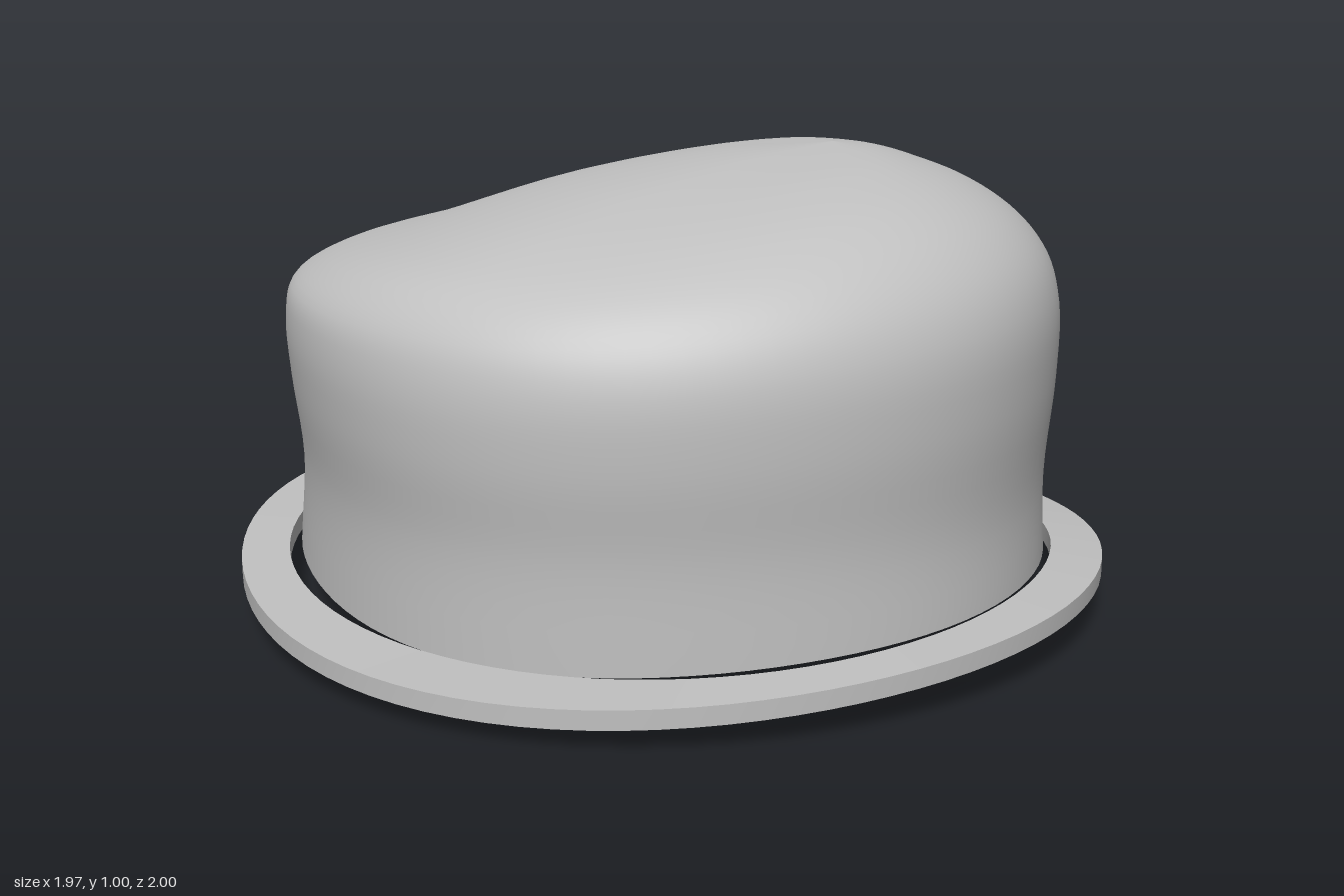
import * as THREE from 'three';

const SEG = 96;
const grey = new THREE.MeshStandardMaterial({ color: 0xc0c0c0 });
grey.name = 'grey felt';

// Skins a list of rings; ring(theta) gives a point, theta runs from +x towards +z
function skin(rings) {
  const pos = [], idx = [];
  for (const ring of rings)
    for (let i = 0; i < SEG; i++) pos.push(...ring((i / SEG) * Math.PI * 2));
  for (let j = 0; j < rings.length - 1; j++)
    for (let i = 0; i < SEG; i++) {
      const a = j * SEG + i, b = j * SEG + ((i + 1) % SEG), c = a + SEG, d = b + SEG;
      idx.push(a, c, b, b, c, d);
    }
  const g = new THREE.BufferGeometry();
  g.setAttribute('position', new THREE.Float32BufferAttribute(pos, 3));
  g.setIndex(idx);
  g.computeVertexNormals();
  return g;
}

function part(name, geometry) {
  const m = new THREE.Mesh(geometry, grey);
  m.name = name;
  return m;
}

// Smoothly blends four axis values: +x, +z, -x, -z
function blend(t, px, pz, nx, nz) {
  const c = Math.cos(t), s = Math.sin(t);
  return c * c * (c > 0 ? px : nx) + s * s * (s > 0 ? pz : nz);
}

// Crown outlines as [distance from the middle, height], from the lip to the peak
const curve = (pts) => new THREE.CatmullRomCurve3(pts.map(([r, y]) => new THREE.Vector3(r, y, 0)));
const leftSide = curve([[0.855, 0.12], [0.845, 0.3], [0.86, 0.52], [0.855, 0.68], [0.82, 0.78],
  [0.75, 0.86], [0.64, 0.925], [0.5, 0.97], [0.4, 0.99], [0.3, 1]]);
const frontSide = curve([[0.83, 0.075], [0.83, 0.3], [0.85, 0.48], [0.848, 0.62], [0.82, 0.71],
  [0.75, 0.785], [0.6, 0.85], [0.3, 0.925], [0, 0.975], [-0.22, 1]]);
const rightSide = curve([[0.87, 0.12], [0.85, 0.34], [0.87, 0.52], [0.885, 0.64], [0.88, 0.7],
  [0.8, 0.75], [0.6, 0.81], [0.3, 0.91], [0, 0.97], [-0.3, 1]]);
const backSide = curve([[0.83, 0.075], [0.84, 0.25], [0.87, 0.45], [0.893, 0.6], [0.895, 0.7],
  [0.85, 0.78], [0.74, 0.87], [0.55, 0.945], [0.38, 0.985], [0.22, 1]]);

// One level of the crown, shrunk by inset for the lining
function crownRing(v, inset) {
  const [l, f, r, b] = [leftSide, frontSide, rightSide, backSide].map((c) => c.getPoint(v));
  const k = 1 - inset;
  return (t) => {
    const s = Math.sin(t), diag = Math.sin(2 * t) ** 2;
    const round = 1 + diag * (s > 0 ? -0.03 * s : 0);
    const x = (l.x - r.x) / 2 + ((l.x + r.x) / 2) * Math.cos(t) * round;
    const z = (f.x - b.x) / 2 + ((f.x + b.x) / 2) * s * round;
    const y = blend(t, l.y, f.y, r.y, b.y) - inset * Math.min(1, v * 1.5);
    return [x * k, y, z * k];
  };
}

// Brim edge: radius and height around the head
function brimRing(outer, drop) {
  return (t) => {
    const c = Math.cos(t), s = Math.sin(t), diag = Math.sin(2 * t) ** 2;
    const r = outer
      ? blend(t, 0.985, 1, 0.985, 1) - 0.018 * diag
      : blend(t, 0.87, 0.855, 0.87, 0.85) + 0.005 * diag;
    const y = outer ? blend(t, 0.13, 0.085, 0.13, 0.045) : blend(t, 0.13, 0.09, 0.13, 0.065);
    return [r * c, y - drop, r * s];
  };
}

export function createModel() {
  const model = new THREE.Group();
  model.name = 'hat';

  // Crown: outer shell, lining and the lip joining them
  const crown = new THREE.Group();
  crown.name = 'crown';
  const levels = Array.from({ length: 46 }, (_, i) => i / 45);
  crown.add(part('crownShell', skin(levels.map((v) => crownRing(v, 0)))));
  crown.add(part('crownLining', skin(levels.map((v) => crownRing(v, 0.035)).reverse())));
  crown.add(part('crownLip', skin([crownRing(0, 0.035), crownRing(0, 0)])));

  // Brim: thin curved ring, each face separate for crisp edges
  const brim = new THREE.Group();
  brim.name = 'brim';
  const T = 0.04;
  const edges = [brimRing(true, T), brimRing(true, 0), brimRing(false, 0), brimRing(false, T)];
  ['brimEdge', 'brimTop', 'brimInnerEdge', 'brimUnderside'].forEach((name, i) =>
    brim.add(part(name, skin([edges[i], edges[(i + 1) % 4]]))));

  model.add(crown, brim);
  return model;
}
